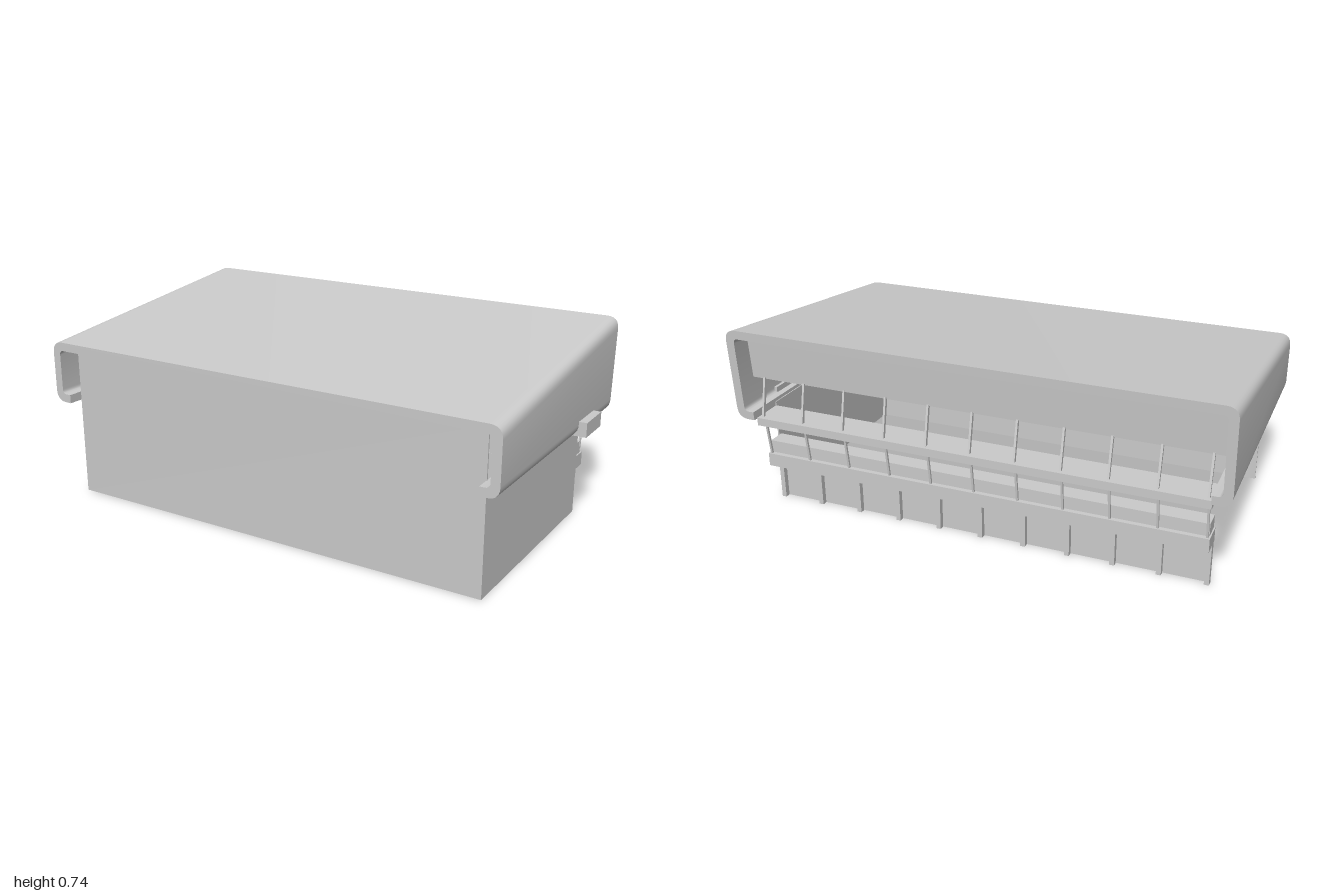
import * as THREE from 'three';
import { toCreasedNormals } from 'three/addons/utils/BufferGeometryUtils.js';

const material = new THREE.MeshStandardMaterial({ color: 0xcccccc });

// Box given by its min/max limits on each axis
function block(parent, name, x0, x1, y0, y1, z0, z1) {
  const mesh = new THREE.Mesh(new THREE.BoxGeometry(x1 - x0, y1 - y0, z1 - z0), material);
  mesh.position.set((x0 + x1) / 2, (y0 + y1) / 2, (z0 + z1) / 2);
  mesh.name = name;
  parent.add(mesh);
  return mesh;
}

// Thin slat running between two (x, y) points, with a given width along z
function slat(parent, name, xa, ya, xb, yb, z, thick, width) {
  const mesh = new THREE.Mesh(
    new THREE.BoxGeometry(thick, Math.hypot(xb - xa, yb - ya), width), material);
  mesh.position.set((xa + xb) / 2, (ya + yb) / 2, z);
  mesh.rotation.z = Math.atan2(xa - xb, yb - ya);
  mesh.name = name;
  parent.add(mesh);
}

// Hooked C-section shell: flat top, side walls and inward lips, rounded corners
function roofGeometry() {
  const W = 0.935, T = 0.033, lip = 0.865, top = 0.74, low = 0.38, R = 0.045, r = 0.018;
  const s = new THREE.Shape();
  s.moveTo(lip, low);
  s.lineTo(W - R, low);
  s.quadraticCurveTo(W, low, W, low + R);
  s.lineTo(W, top - R);
  s.quadraticCurveTo(W, top, W - R, top);
  s.lineTo(-W + R, top);
  s.quadraticCurveTo(-W, top, -W, top - R);
  s.lineTo(-W, low + R);
  s.quadraticCurveTo(-W, low, -W + R, low);
  s.lineTo(-lip, low);
  s.lineTo(-lip, low + T);
  const w = W - T;
  s.lineTo(-w + r, low + T);
  s.quadraticCurveTo(-w, low + T, -w, low + T + r);
  s.lineTo(-w, top - T - r);
  s.quadraticCurveTo(-w, top - T, -w + r, top - T);
  s.lineTo(w - r, top - T);
  s.quadraticCurveTo(w, top - T, w, top - T - r);
  s.lineTo(w, low + T + r);
  s.quadraticCurveTo(w, low + T, w - r, low + T);
  s.lineTo(lip, low + T);
  s.closePath();

  const half = 0.527;
  const g = new THREE.ExtrudeGeometry(s, { depth: 2 * half, bevelEnabled: false, curveSegments: 6 });
  g.translate(0, 0, -half);
  g.rotateY(Math.PI / 2);
  // Slope the top down toward -x and rake the open +x end
  const p = g.attributes.position;
  for (let i = 0; i < p.count; i++) {
    const x = p.getX(i), y = p.getY(i);
    if (y > 0.55) p.setY(i, y - 0.12 * (half - x) / (2 * half));
    if (x > 0) p.setX(i, x - (top - y) * 0.07);
  }
  return toCreasedNormals(g, 0.6);
}

export function createModel() {
  const model = new THREE.Group();
  const building = new THREE.Group();
  building.name = 'building';
  building.rotation.y = 0.128;
  model.add(building);

  const roof = new THREE.Mesh(roofGeometry(), material);
  roof.name = 'roofShell';
  building.add(roof);

  // Thin outer walls; the rear stays open
  block(building, 'sideWall', -0.474, -0.468, 0, 0.597, -0.86, 0.867);
  block(building, 'frontWall', -0.474, 0.362, 0, 0.4, 0.861, 0.867);
  block(building, 'frontBox', 0.157, 0.308, 0.38, 0.435, 0.89, 0.965);

  // Ground floor of the long facade
  const facade = new THREE.Group();
  facade.name = 'facade';
  building.add(facade);
  block(facade, 'groundPanel', 0.356, 0.362, 0, 0.17, -0.855, 0.867);
  block(facade, 'groundHeader', 0.362, 0.385, 0.145, 0.17, -0.855, 0.86);

  // Ledges of the upper floors
  block(facade, 'ledge', 0.358, 0.443, 0.165, 0.217, -0.86, 0.86);
  block(facade, 'ledgeUpstand', 0.358, 0.425, 0.217, 0.265, -0.855, 0.855);
  block(facade, 'upperSlab', 0.358, 0.484, 0.352, 0.383, -0.865, 0.865);

  // Recessed plain panel below the roof
  slat(facade, 'fasciaPanel', 0.425, 0.525, 0.44, 0.705, 0, 0.012, 1.805);

  // Piers and slanted mullions in ten bays
  for (let i = 0; i <= 10; i++) {
    const z = -0.85 + 0.17 * i;
    block(facade, 'groundPier', 0.36, 0.383, 0, 0.165, z - 0.009, z + 0.009);
    slat(facade, 'middleMullion', 0.432, 0.21, 0.452, 0.36, z, 0.008, 0.008);
    slat(facade, 'upperMullion', 0.465, 0.375, 0.43, 0.53, z, 0.012, 0.008);
  }
  return model;
}
